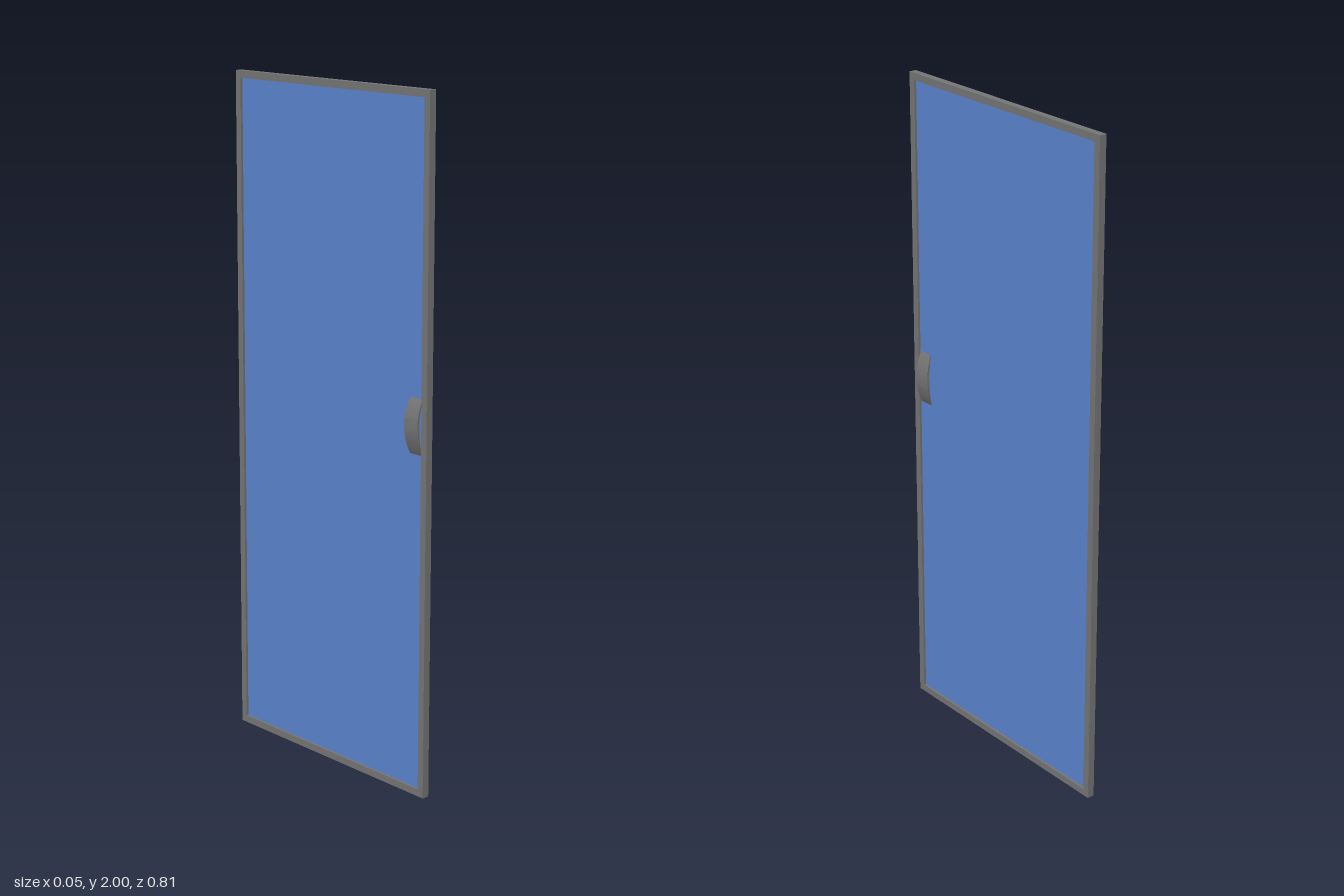
import * as THREE from 'three';
import { toCreasedNormals } from 'three/addons/utils/BufferGeometryUtils.js';

const HEIGHT = 2, WIDTH = 0.81, DEPTH = 0.022, BORDER = 0.021, GLASS = 0.008;

// Rectangle outline in the door plane, usable as a shape or as a hole
function rectangle(PathType, w, y0, y1) {
  return new PathType([
    [-w / 2, y0], [w / 2, y0], [w / 2, y1], [-w / 2, y1],
  ].map(([x, y]) => new THREE.Vector2(x, y)));
}

// Bowed pull strip standing off one face of the glass; side is +1 or -1
function handleGeometry(side) {
  const base = GLASS / 2 - 0.001, low = 1.0, high = 1.16, mid = (low + high) / 2;
  const zFree = 0.334, zFrame = 0.381, steps = 20, points = [];
  const bow = (y) => 1 - ((y - mid) / (mid - low)) ** 2;
  for (let i = 0; i <= steps; i++) { // outer curve
    const y = low + (high - low) * i / steps;
    points.push(new THREE.Vector2(side * (base + 0.002 + 0.018 * bow(y)), y));
  }
  for (let i = steps; i >= 0; i--) { // inner curve
    const y = low + (high - low) * i / steps;
    points.push(new THREE.Vector2(side * (base + 0.012 * bow(y)), y));
  }
  const geometry = new THREE.ExtrudeGeometry(new THREE.Shape(points), {
    depth: zFrame - zFree, bevelEnabled: false,
  });
  geometry.translate(0, 0, zFree);
  // The free edge swells slightly at mid height
  const p = geometry.attributes.position;
  for (let i = 0; i < p.count; i++) {
    if (p.getZ(i) < zFree + 0.001) p.setZ(i, p.getZ(i) - 0.006 * bow(p.getY(i)));
  }
  return toCreasedNormals(geometry, 0.6);
}

export function createModel() {
  const group = new THREE.Group();
  const metal = new THREE.MeshStandardMaterial({ color: 0x777777 });
  const blue = new THREE.MeshStandardMaterial({ color: 0x5c87d2 });
  const add = (name, geometry, material) => {
    const mesh = new THREE.Mesh(geometry, material);
    mesh.name = name;
    group.add(mesh);
  };

  // Frame: outline with one large opening, turned to face along x
  const outline = rectangle(THREE.Shape, WIDTH, 0, HEIGHT);
  outline.holes.push(rectangle(THREE.Path, WIDTH - 2 * BORDER, BORDER, HEIGHT - BORDER));
  const frame = new THREE.ExtrudeGeometry(outline, { depth: DEPTH, bevelEnabled: false });
  frame.translate(0, 0, -DEPTH / 2).rotateY(Math.PI / 2);
  add('frame', frame, metal);

  // Glass pane recessed within the frame
  const pane = new THREE.BoxGeometry(GLASS, HEIGHT - 2 * BORDER, WIDTH - 2 * BORDER);
  pane.translate(0, HEIGHT / 2, 0);
  add('glassPane', pane, blue);

  // One pull handle on each face
  add('leftHandle', handleGeometry(1), metal);
  add('rightHandle', handleGeometry(-1), metal);
  return group;
}
